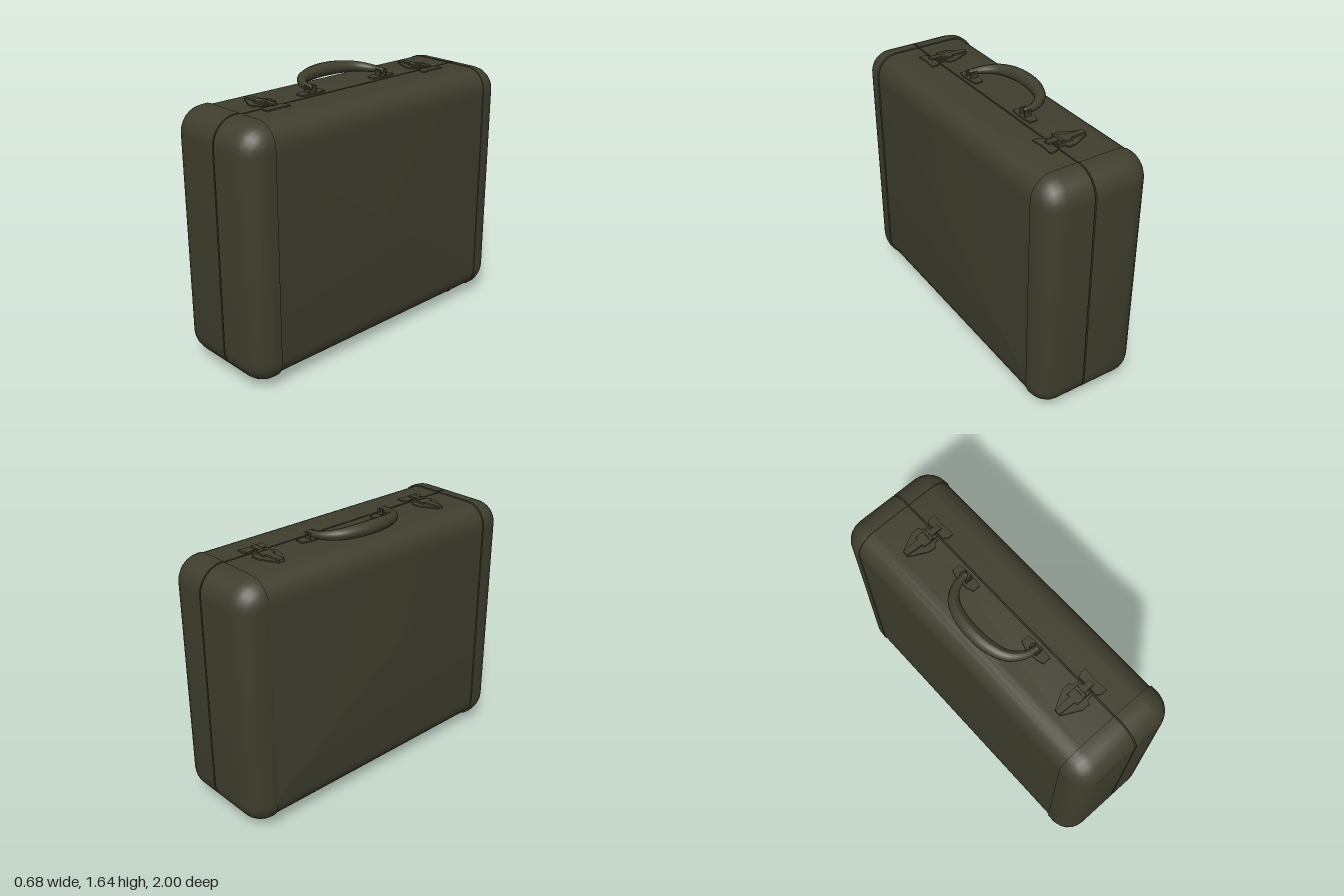
import * as THREE from 'three';
import { toCreasedNormals } from 'three/addons/utils/BufferGeometryUtils.js';

const olive = new THREE.MeshStandardMaterial({ color: 0x3f3e2e });
olive.name = 'olive';

const TOP = 1.542, BOTTOM = 0.05, CY = (TOP + BOTTOM) / 2;

function add(parent, name, geometry, x = 0, y = 0, z = 0) {
  const mesh = new THREE.Mesh(geometry, olive);
  mesh.name = name;
  mesh.position.set(x, y, z);
  parent.add(mesh);
  return mesh;
}

// Rounded rectangle in the z-y plane, clamped between two z limits
function outline(hz, hy, radius, zMin, zMax) {
  const points = [], steps = 6;
  for (let c = 0; c < 4; c++) {
    const sz = c === 0 || c === 3 ? 1 : -1, sy = c < 2 ? 1 : -1;
    for (let i = 0; i <= steps; i++) {
      const a = (c + i / steps) * Math.PI / 2;
      const z = sz * (hz - radius) + radius * Math.cos(a);
      const y = sy * (hy - radius) + radius * Math.sin(a);
      points.push([THREE.MathUtils.clamp(z, zMin, zMax), CY + y]);
    }
  }
  return points;
}

// One half of the case: sections run from the seam to the rounded outer side
function shellHalf(side, seam, grow, zMin, zMax) {
  const hx = 0.331 + grow, hz = 0.992 + grow, hy = (TOP - BOTTOM) / 2 + grow;
  const R = 0.13, corner = 0.15, steps = 6;
  const sections = [{ x: seam, pts: outline(hz, hy, corner, zMin, zMax) }];
  for (let i = 0; i <= steps; i++) {
    const a = i / steps * Math.PI / 2, inset = R * (1 - Math.cos(a));
    sections.push({
      x: side * (hx - R + R * Math.sin(a)),
      pts: outline(hz - inset, hy - inset, corner - inset, zMin, zMax),
    });
  }
  if (side < 0) sections.reverse();
  const n = sections[0].pts.length, pos = [], index = [];
  sections.forEach((s) => s.pts.forEach(([z, y]) => pos.push(s.x, y, z)));
  const last = (sections.length - 1) * n;
  for (let s = 0; s < last; s += n) {
    for (let j = 0; j < n; j++) {
      const a = s + j, b = s + (j + 1) % n, c = b + n, d = a + n;
      index.push(a, d, c, a, c, b);
    }
  }
  for (let j = 1; j < n - 1; j++) {
    index.push(0, j, j + 1, last, last + j + 1, last + j);
  }
  const g = new THREE.BufferGeometry();
  g.setAttribute('position', new THREE.Float32BufferAttribute(pos, 3));
  g.setIndex(index);
  return toCreasedNormals(g, 0.6);
}

// Thin horizontal plate from an outline of [x, z] corners
function plate(corners, thickness) {
  const shape = new THREE.Shape(corners.map(([x, z]) => new THREE.Vector2(x, -z)));
  return new THREE.ExtrudeGeometry(shape, { depth: thickness, bevelEnabled: false })
    .rotateX(-Math.PI / 2);
}

// Curved grip, thick in the middle and slim at its ends
function gripGeometry() {
  const half = [[-0.015, 1.578, 0.285], [-0.08, 1.58, 0.272], [-0.155, 1.588, 0.215], [-0.195, 1.594, 0.12]];
  const path = [...half, [-0.208, 1.597, 0], ...half.slice().reverse().map(([x, y, z]) => [x, y, -z])];
  const curve = new THREE.CatmullRomCurve3(path.map((p) => new THREE.Vector3(...p)));
  const rings = 32, sides = 12;
  const g = new THREE.TubeGeometry(curve, rings, 1, sides);
  const p = g.attributes.position, v = new THREE.Vector3();
  for (let i = 0; i <= rings; i++) {
    const centre = curve.getPointAt(i / rings);
    const r = 0.018 + 0.023 * Math.sin(Math.PI * i / rings);
    for (let j = 0; j <= sides; j++) {
      const k = i * (sides + 1) + j;
      v.fromBufferAttribute(p, k).sub(centre).multiplyScalar(r).add(centre);
      p.setXYZ(k, v.x, v.y, v.z);
    }
  }
  g.computeVertexNormals();
  return g;
}

function makeLatch() {
  const latch = new THREE.Group();
  latch.name = 'latch';
  // Base plates on both sides of the seam
  add(latch, 'latchBase', plate([[-0.165, -0.02], [-0.06, -0.075], [-0.01, -0.078], [0, -0.055],
    [0.038, -0.05], [0.038, 0.05], [0, 0.055], [-0.01, 0.078], [-0.06, 0.075], [-0.165, 0.02]], 0.008));
  add(latch, 'strikePlate', plate([[0.052, -0.065], [0.075, -0.08], [0.112, -0.08], [0.105, 0],
    [0.112, 0.08], [0.075, 0.08], [0.052, 0.065]], 0.008));
  // Lever with a slim tail, and the hasp crossing the seam
  add(latch, 'lever', plate([[-0.165, -0.016], [-0.06, -0.022], [-0.06, -0.038], [0.03, -0.038],
    [0.03, 0.038], [-0.06, 0.038], [-0.06, 0.022], [-0.165, 0.016]], 0.018));
  add(latch, 'hasp', new THREE.BoxGeometry(0.09, 0.01, 0.036), 0.035, 0.019, 0);
  const pin = add(latch, 'latchPin', new THREE.CylinderGeometry(0.01, 0.01, 0.07, 10), 0.0, 0.019, 0);
  pin.rotation.x = Math.PI / 2;
  return latch;
}

export function createModel() {
  const model = new THREE.Group();
  model.name = 'suitcase';

  // Two halves with an open seam, each wrapped by end covers
  for (const [side, seam, name] of [[-1, 0.039, 'base'], [1, 0.048, 'lid']]) {
    add(model, name + 'Shell', shellHalf(side, seam, 0, -2, 2));
    add(model, name + 'FrontCover', shellHalf(side, seam, 0.008, 0.82, 2));
    add(model, name + 'BackCover', shellHalf(side, seam, 0.004, -2, -0.835));
  }

  // Handle
  const handle = new THREE.Group();
  handle.name = 'handle';
  model.add(handle);
  add(handle, 'grip', gripGeometry());
  for (const s of [-1, 1]) {
    const z = s * 0.28;
    add(handle, 'gripEnd', new THREE.SphereGeometry(0.019, 12, 8), -0.015, 1.578, s * 0.285);
    add(handle, 'handlePlate', plate([[-0.035, -0.085], [0.012, -0.085], [0.02, -0.04], [0.02, 0.04],
      [0.012, 0.085], [-0.035, 0.085], [-0.05, 0.04], [-0.05, -0.04]], 0.008), 0, TOP, z);
    for (const t of [-1, 1]) {
      add(handle, 'handleBracket', new THREE.BoxGeometry(0.044, 0.04, 0.008), -0.014, TOP + 0.026, z + t * 0.023);
    }
    const pin = add(handle, 'handlePin', new THREE.CylinderGeometry(0.008, 0.008, 0.066, 10), -0.015, 1.575, z);
    pin.rotation.x = Math.PI / 2;
  }

  // Latches, feet and hinge plates
  for (const s of [-1, 1]) {
    const latch = makeLatch();
    latch.position.set(0, TOP, s * 0.61);
    model.add(latch);
    for (const x of [-0.14, 0.18]) {
      add(model, 'foot', new THREE.SphereGeometry(0.031, 14, 10), x, 0.031, s * 0.75);
    }
    for (const x of [0.006, 0.081]) {
      add(model, 'hingePlate', new THREE.BoxGeometry(0.06, 0.008, 0.1), x, BOTTOM - 0.002, s * 0.62);
    }
  }
  return model;
}
